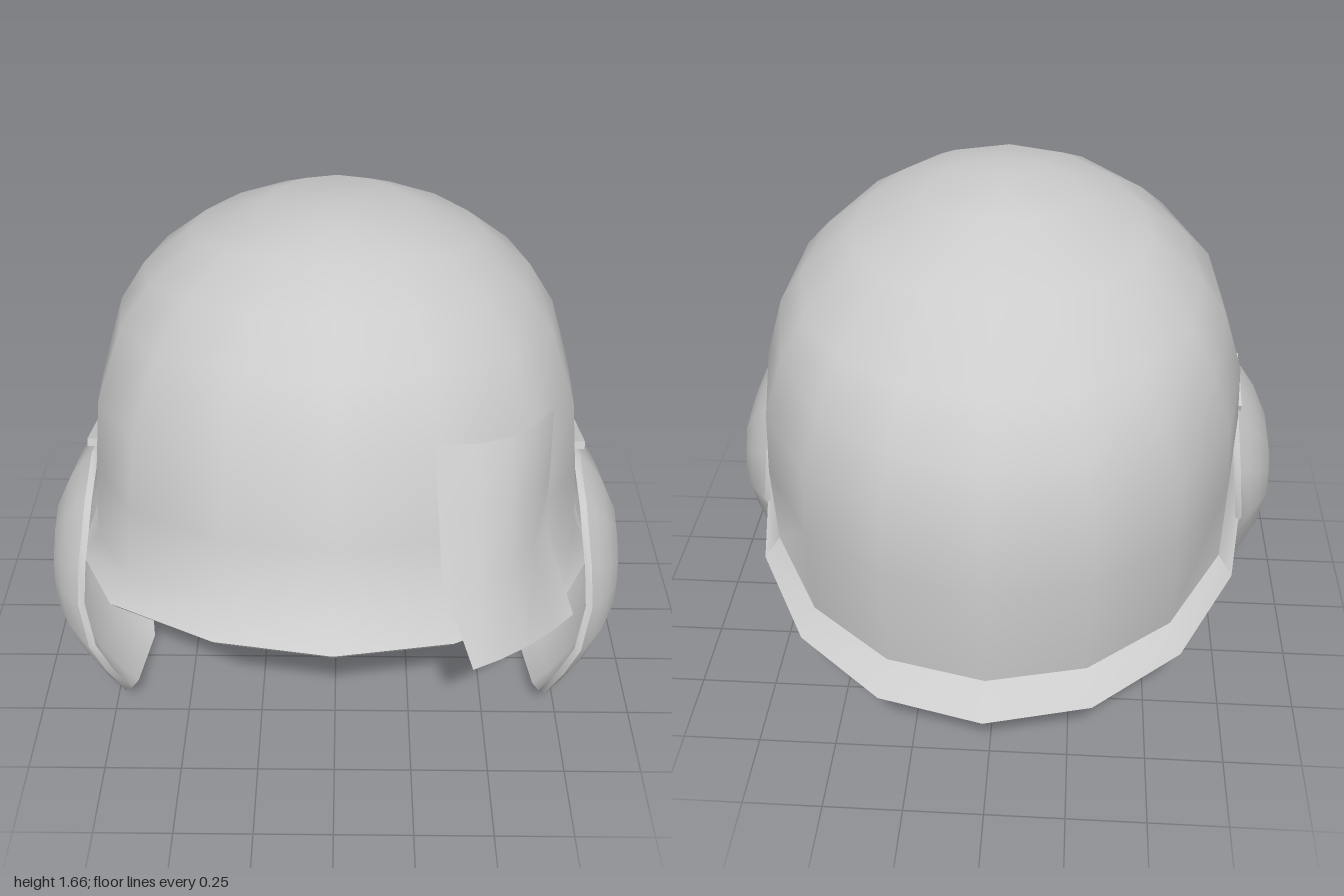
import * as THREE from 'three';
import { toCreasedNormals } from 'three/addons/utils/BufferGeometryUtils.js';

const V = (x, y, z) => new THREE.Vector3(x, y, z);
const material = new THREE.MeshStandardMaterial({ color: 0xcccccc, side: THREE.DoubleSide });

// Skin a list of point rings; collapsed rings act as poles.
function loft(rings, closed = true, crease = 0.95) {
  const pos = [];
  const tri = (a, b, c) => {
    const area = b.clone().sub(a).cross(c.clone().sub(a)).length();
    if (area > 1e-7) for (const p of [a, b, c]) pos.push(p.x, p.y, p.z);
  };
  const n = rings[0].length;
  for (let i = 0; i < rings.length - 1; i++) {
    for (let j = 0; j < (closed ? n : n - 1); j++) {
      const k = (j + 1) % n;
      tri(rings[i][j], rings[i][k], rings[i + 1][k]);
      tri(rings[i][j], rings[i + 1][k], rings[i + 1][j]);
    }
  }
  const g = new THREE.BufferGeometry();
  g.setAttribute('position', new THREE.Float32BufferAttribute(pos, 3));
  return toCreasedNormals(g, crease);
}

function mesh(name, geometry) {
  const m = new THREE.Mesh(geometry, material);
  m.name = name;
  return m;
}

// Tilted oval ring: half width, then z and y at front, side and back.
function oval([w, zF, zB, yF, yS, yB, fullness = 0]) {
  const a = (yF + yB) / 4 + yS / 2, b = (yF - yB) / 2, c = (yF + yB) / 4 - yS / 2;
  const ring = [];
  for (let j = 0; j < 16; j++) {
    const t = (j / 16) * Math.PI * 2;
    const full = Math.cos(t) > 0 ? 1 + fullness * Math.sin(2 * t) ** 2 : 1;
    ring.push(V(w * Math.sin(t) * full,
      a + b * Math.cos(t) + c * Math.cos(2 * t),
      (zF + zB) / 2 + ((zF - zB) / 2) * Math.cos(t)));
  }
  return ring;
}

// Dome and flared brim, with an inner skin
function helmetShell() {
  const dome = [
    [0.78, 0.91, -0.89, 0.87, 0.58, 0.47, 0.11],
    [0.775, 0.85, -0.92, 1.05, 0.85, 0.83, 0.09],
    [0.76, 0.77, -0.89, 1.29, 1.06, 1.05, 0.07],
    [0.69, 0.64, -0.84, 1.47, 1.28, 1.20, 0.04],
    [0.61, 0.49, -0.73, 1.57, 1.40, 1.36],
    [0.45, 0.31, -0.49, 1.645, 1.54, 1.52],
    [0.24, 0.16, -0.24, 1.665, 1.63, 1.645],
    [0, 0.02, 0.02, 1.67, 1.67, 1.67],
  ];
  const brim = [
    [0.81, 0.985, -0.98, 0.78, 0.515, 0.39, 0.14],
    [0.825, 1.0, -1.0, 0.80, 0.535, 0.41, 0.14],
  ];
  const inner = dome.map(([w, zF, zB, yF, yS, yB, f]) =>
    [w * 0.97, zF * 0.97, zB * 0.97, yF - 0.025, yS - 0.025, yB - 0.025, f]).reverse();
  return mesh('helmetShell', loft([...inner, ...brim, ...dome].map(oval)));
}

// Cupped ear flap, outline given as z, y
function earFlap(side) {
  const outline = [
    [0.25, 0.92], [0.39, 0.84], [0.52, 0.69], [0.55, 0.55], [0.60, 0.41], [0.57, 0.27],
    [0.51, 0.11], [0.44, 0.07], [0.16, 0.005], [0.03, 0.09], [-0.08, 0.22], [-0.10, 0.38],
    [-0.15, 0.53], [-0.12, 0.70], [-0.04, 0.845], [0.12, 0.885],
  ];
  if (side < 0) outline.reverse();
  const cz = 0.22, cy = 0.46;
  const rimX = (y) => 0.81 - (y > 0.53 ? 0.1 * (y - 0.53) : 0.25 * (0.53 - y));
  const ring = (s, centreX, inset) => outline.map(([z, y]) => {
    const k = s ** 2.5;
    return V(side * (rimX(y) * k + centreX * (1 - k) - inset),
      cy + (y - cy) * s * (1 - inset), cz + (z - cz) * s * (1 - inset));
  });
  const steps = [0, 0.25, 0.5, 0.75, 0.9, 1];
  return mesh(side > 0 ? 'leftEarFlap' : 'rightEarFlap', loft([
    ...steps.map((s) => ring(s, 0.925, 0.02)),
    ...steps.slice().reverse().map((s) => ring(s, 0.94, 0)),
  ]));
}

// Small bar that hangs each flap from the shell
function flapClip(side) {
  const m = mesh(side > 0 ? 'leftFlapClip' : 'rightFlapClip', new THREE.BoxGeometry(0.045, 0.025, 0.235));
  m.position.set(side * 0.765, 0.905, 0.105);
  m.rotation.x = -0.28;
  return m;
}

// Thin sheet bent over the front left of the shell and brim
function frontPatch() {
  const rows = [
    [V(0.39, 0.73, 0.98), V(0.71, 0.68, 0.71), 0.02],
    [V(0.30, 0.95, 0.86), V(0.62, 0.92, 0.59), 0.07],
    [V(0.285, 1.13, 0.79), V(0.62, 1.10, 0.55), 0.07],
    [V(0.27, 1.31, 0.71), V(0.62, 1.28, 0.50), 0.06],
  ];
  const out = V(0.55, 0, 0.83);
  return mesh('frontPatch', loft(rows.map(([a, b, bulge]) =>
    [0, 0.25, 0.5, 0.75, 1].map((t) =>
      a.clone().lerp(b, t).addScaledVector(out, bulge * 4 * t * (1 - t)))), false));
}

export function createModel() {
  const group = new THREE.Group();
  group.name = 'helmet';
  group.add(helmetShell(), frontPatch());
  for (const side of [1, -1]) group.add(earFlap(side), flapClip(side));
  return group;
}
